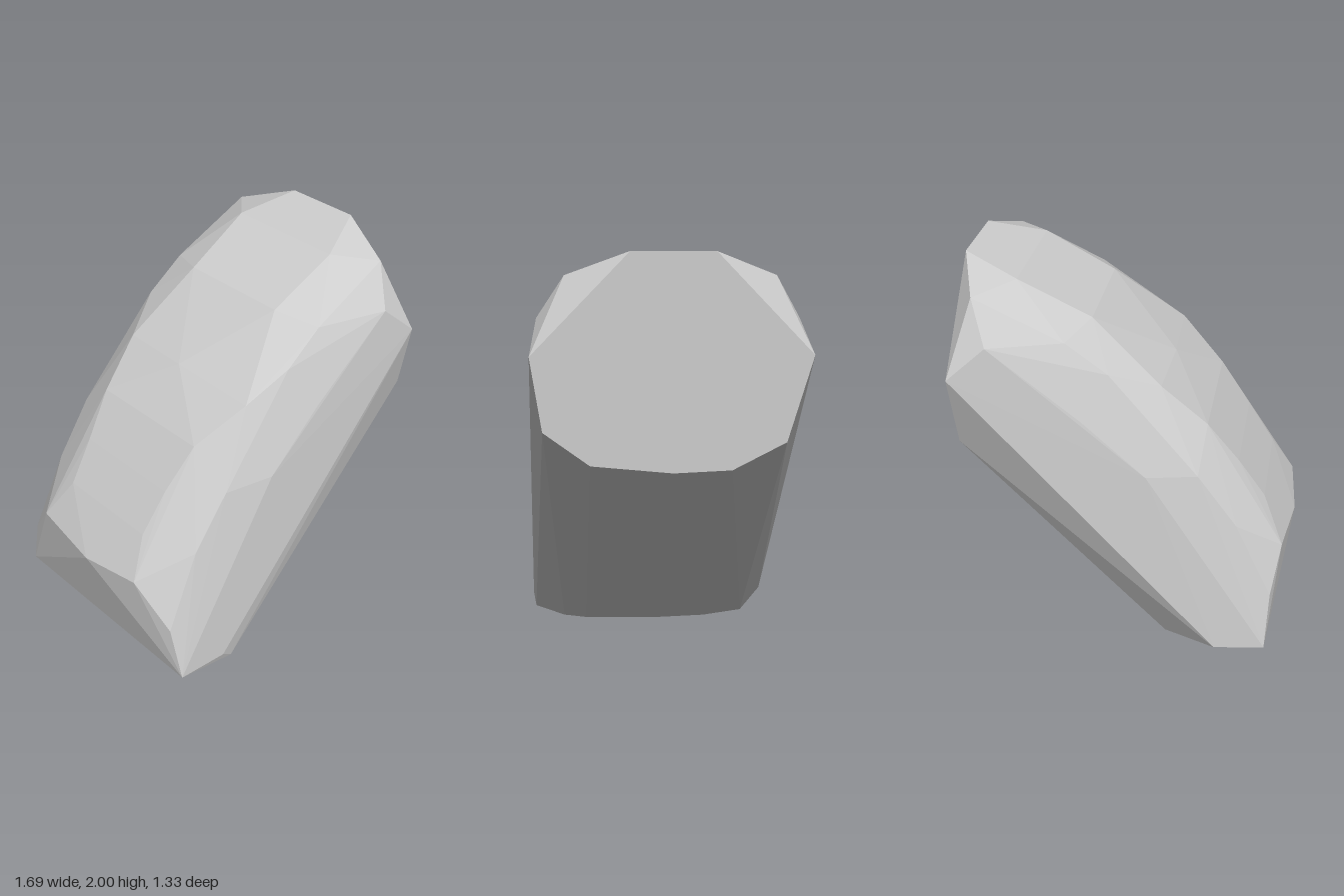
import * as THREE from 'three';
import { ConvexGeometry } from 'three/addons/geometries/ConvexGeometry.js';

// Both sides of a point, mirrored in z
const pair = (x, y, z) => [new THREE.Vector3(x, y, z), new THREE.Vector3(x, y, -z)];
const one = (x, y, z) => [new THREE.Vector3(x, y, z)];

export function createModel() {
  const group = new THREE.Group();
  group.name = 'facetedBlock';
  const grey = new THREE.MeshStandardMaterial({ color: 0xcccccc, flatShading: true });
  grey.name = 'stone grey';

  // Flat upright end
  const uprightEnd = [
    ...pair(0.842, 2, 0.2), ...pair(0.842, 1.52, 0.667),
    ...one(0.842, 1.17, 0.61), ...one(0.842, 1.01, 0.39), ...one(0.842, 0.97, 0),
    ...one(0.842, 0.98, -0.28), ...one(0.842, 1.11, -0.54),
  ];
  // Base that it stands on
  const base = [
    ...one(-0.41, 0, 0.645), ...one(-0.2, 0, 0.49), ...one(-0.14, 0, 0.37),
    ...one(-0.1, 0, 0), ...one(-0.12, 0, -0.28), ...one(-0.21, 0, -0.505),
    ...one(-0.49, 0.05, -0.664), ...one(-0.48, 0.06, 0.658),
  ];
  // Slanted low end
  const lowEnd = [
    ...pair(-0.748, 0.06, 0.633), ...pair(-0.76, 0.35, 0.56),
    ...one(-0.81, 0.57, 0.345), ...one(-0.8, 0.56, -0.4), ...one(-0.845, 0.53, 0),
  ];
  // Arched back: crown, shoulders and flanks
  const crown = [
    ...pair(-0.69, 0.78, 0.283), ...pair(-0.55, 0.99, 0.3), ...pair(-0.39, 1.21, 0.34),
    ...one(-0.18, 1.44, 0), ...one(-0.16, 1.41, 0.465), ...one(-0.16, 1.43, -0.385),
    ...pair(0.195, 1.735, 0.297), ...pair(0.56, 1.92, 0.317),
  ];
  const shoulders = [
    ...pair(-0.57, 0.75, 0.545), ...pair(-0.37, 1.03, 0.55), ...pair(0.08, 1.54, 0.515),
    ...pair(0.29, 1.69, 0.51), ...pair(0.74, 1.89, 0.5),
  ];
  const flanks = [
    ...pair(-0.12, 1.04, 0.62), ...pair(0.2, 1.33, 0.62), ...pair(0.65, 1.69, 0.63),
  ];

  const body = new THREE.Mesh(
    new ConvexGeometry([...uprightEnd, ...base, ...lowEnd, ...crown, ...shoulders, ...flanks]),
    grey,
  );
  body.name = 'body';
  group.add(body);
  return group;
}
